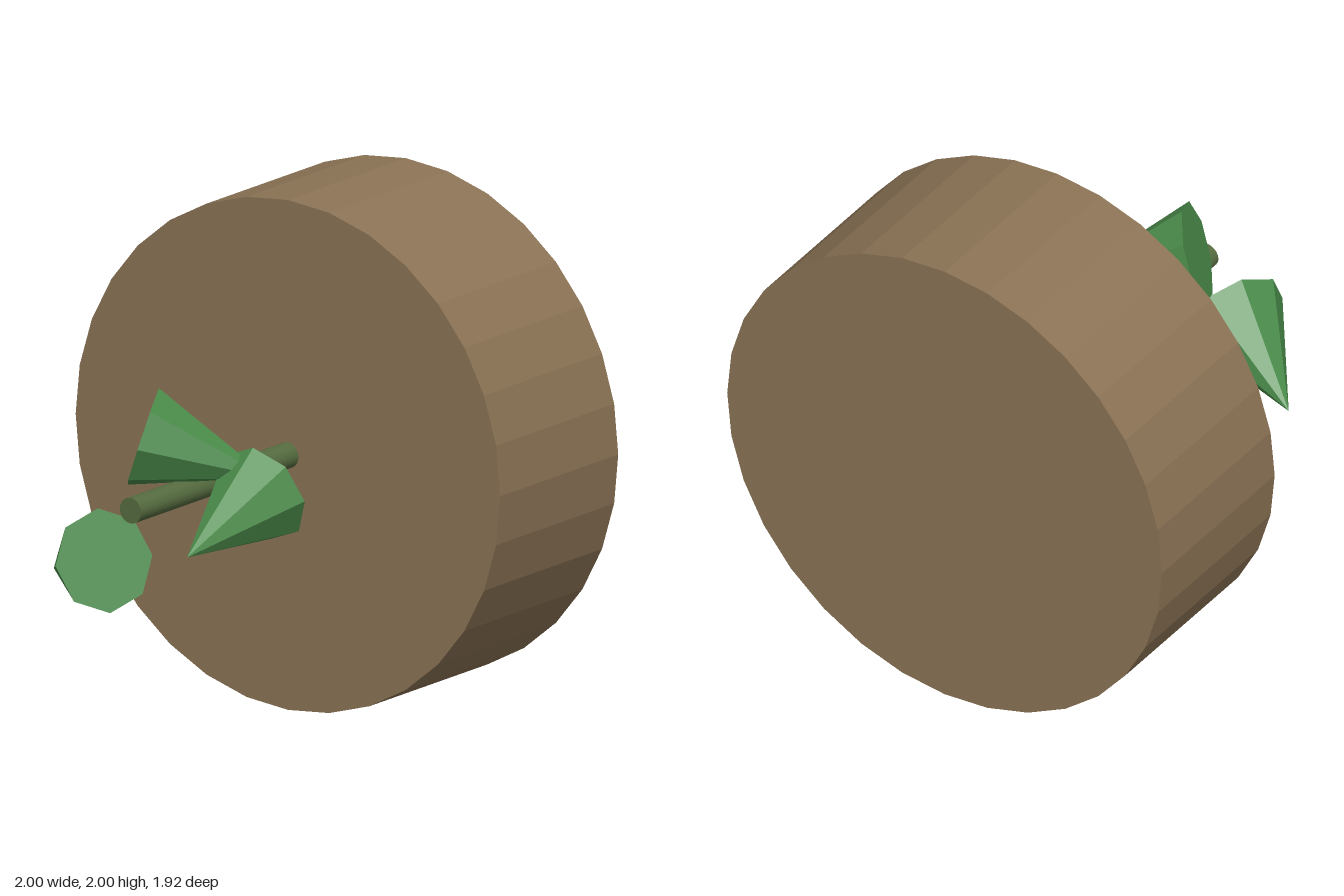
import * as THREE from 'three';

const paint = (color) => new THREE.MeshStandardMaterial({ color, flatShading: true });

// Cylinder lying along z, between two depths
function zCylinder(name, radius, zBack, zFront, sides, material) {
  const geometry = new THREE.CylinderGeometry(radius, radius, zFront - zBack, sides);
  geometry.rotateX(Math.PI / 2);
  const mesh = new THREE.Mesh(geometry, material);
  mesh.name = name;
  mesh.position.set(0, 1, (zBack + zFront) / 2);
  return mesh;
}

export function createModel() {
  const model = new THREE.Group();
  model.name = 'pottedPlant';

  const potFront = -0.21;

  // Pot lying on its side, with the soil just under its front face
  model.add(zCylinder('pot', 1, -0.96, potFront, 32, paint(0x8b7355)));
  model.add(zCylinder('soil', 0.95, -0.31, potFront - 0.002, 32, paint(0x4a3c2e)));

  // Stem
  model.add(zCylinder('stem', 0.05, potFront, 0.79, 32, paint(0x556b3f)));

  // Three cone leaves spiralling along the stem, pivoting at their bases
  const leafGeometry = new THREE.ConeGeometry(0.2, 0.5, 8);
  leafGeometry.translate(0, 0.25, 0);
  const leafMaterial = paint(0x4a8b4a);
  for (let i = 0; i < 3; i++) {
    const angle = (i * Math.PI * 2) / 3;
    const leaf = new THREE.Mesh(leafGeometry, leafMaterial);
    leaf.name = `leaf${i + 1}`;
    leaf.position.set(0.25 * Math.cos(angle), 1 + 0.25 * Math.sin(angle), 0.29 + 0.25 * i);
    leaf.rotation.set(Math.PI / 2 + 0.3, angle, 0, 'YXZ');
    model.add(leaf);
  }

  return model;
}
